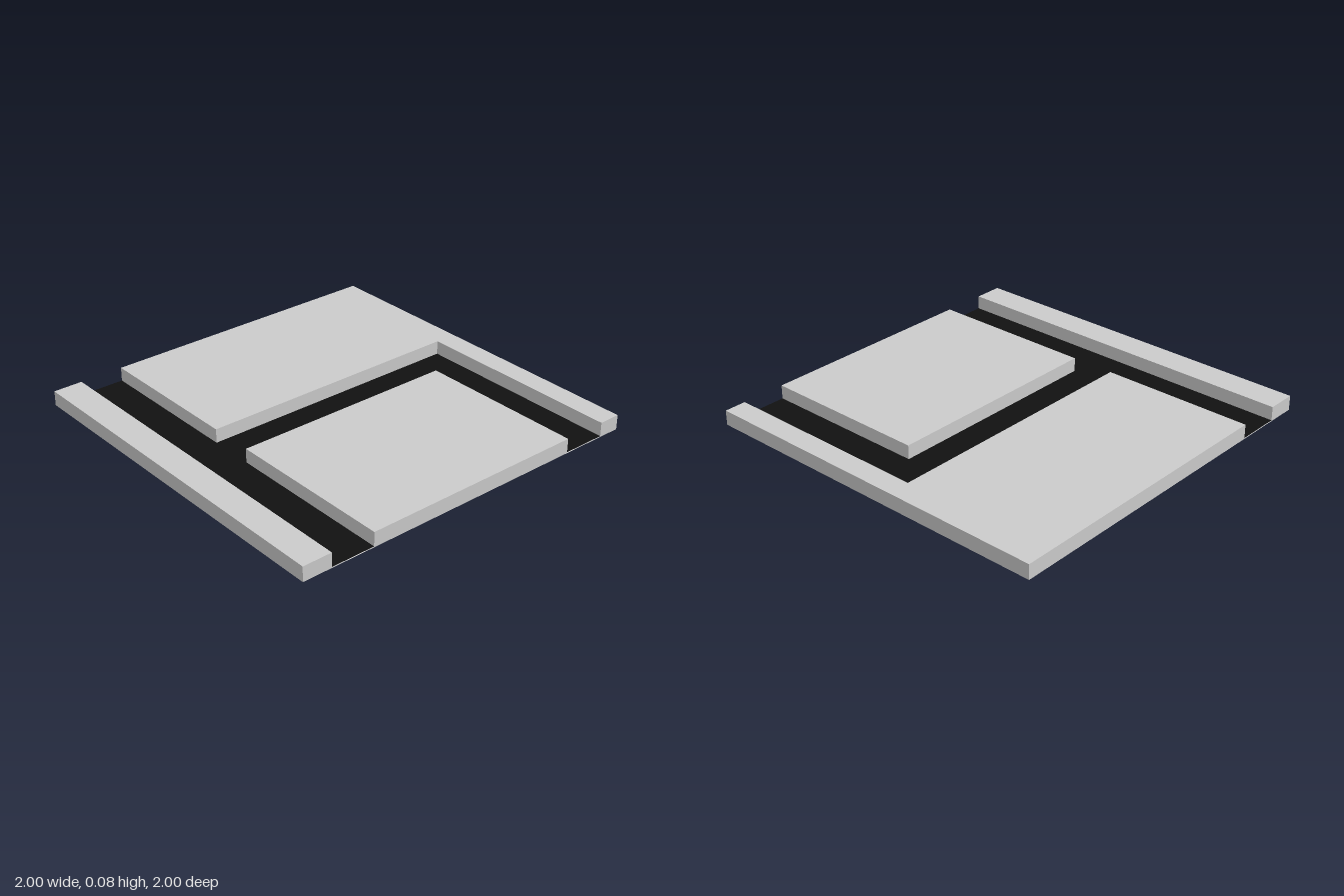
import * as THREE from 'three';

const HEIGHT = 0.08;
const ROAD_Y = 0.005;

// Outline from [x, z] corners, drawn so that +z ends up facing the front
function outline(corners) {
  return new THREE.Shape(corners.map(([x, z]) => new THREE.Vector2(x, -z)));
}

function rectangle(x0, x1, z0, z1) {
  return [[x0, z1], [x1, z1], [x1, z0], [x0, z0]];
}

export function createModel() {
  const group = new THREE.Group();
  const grey = new THREE.MeshStandardMaterial({ color: 0xcccccc });
  const black = new THREE.MeshStandardMaterial({ color: 0x111111 });

  function add(name, geometry, material) {
    geometry.rotateX(-Math.PI / 2);
    const mesh = new THREE.Mesh(geometry, material);
    mesh.name = name;
    group.add(mesh);
    return mesh;
  }

  // Raised pavement blocks on either side of the roads
  const blocks = {
    leftSidewalk: rectangle(-1, -0.84, -1, 1),
    frontBlock: rectangle(-0.6, 0.64, 0.08, 1),
    cornerBlock: [[-0.6, -0.16], [0.88, -0.16], [0.88, 1], [1, 1], [1, -1], [-0.6, -1]],
  };
  blocks.rightSidewalk = blocks.leftSidewalk; // the model's right is -x
  delete blocks.leftSidewalk;
  for (const [name, corners] of Object.entries(blocks)) {
    add(name, new THREE.ExtrudeGeometry(outline(corners), { depth: HEIGHT, bevelEnabled: false }), grey);
  }

  // Sunken road: a straight street with a side street that turns to the front
  const road = add('road', new THREE.ShapeGeometry(outline([
    [-0.84, 1], [-0.6, 1], [-0.6, 0.08], [0.64, 0.08], [0.64, 1], [0.88, 1],
    [0.88, -0.16], [-0.6, -0.16], [-0.6, -1], [-0.84, -1],
  ])), black);
  road.position.y = ROAD_Y;

  // Thin ground sheet closing the underside
  const groundMaterial = new THREE.MeshStandardMaterial({ color: 0xcccccc, side: THREE.DoubleSide });
  add('groundSheet', new THREE.PlaneGeometry(2, 2), groundMaterial);

  return group;
}
